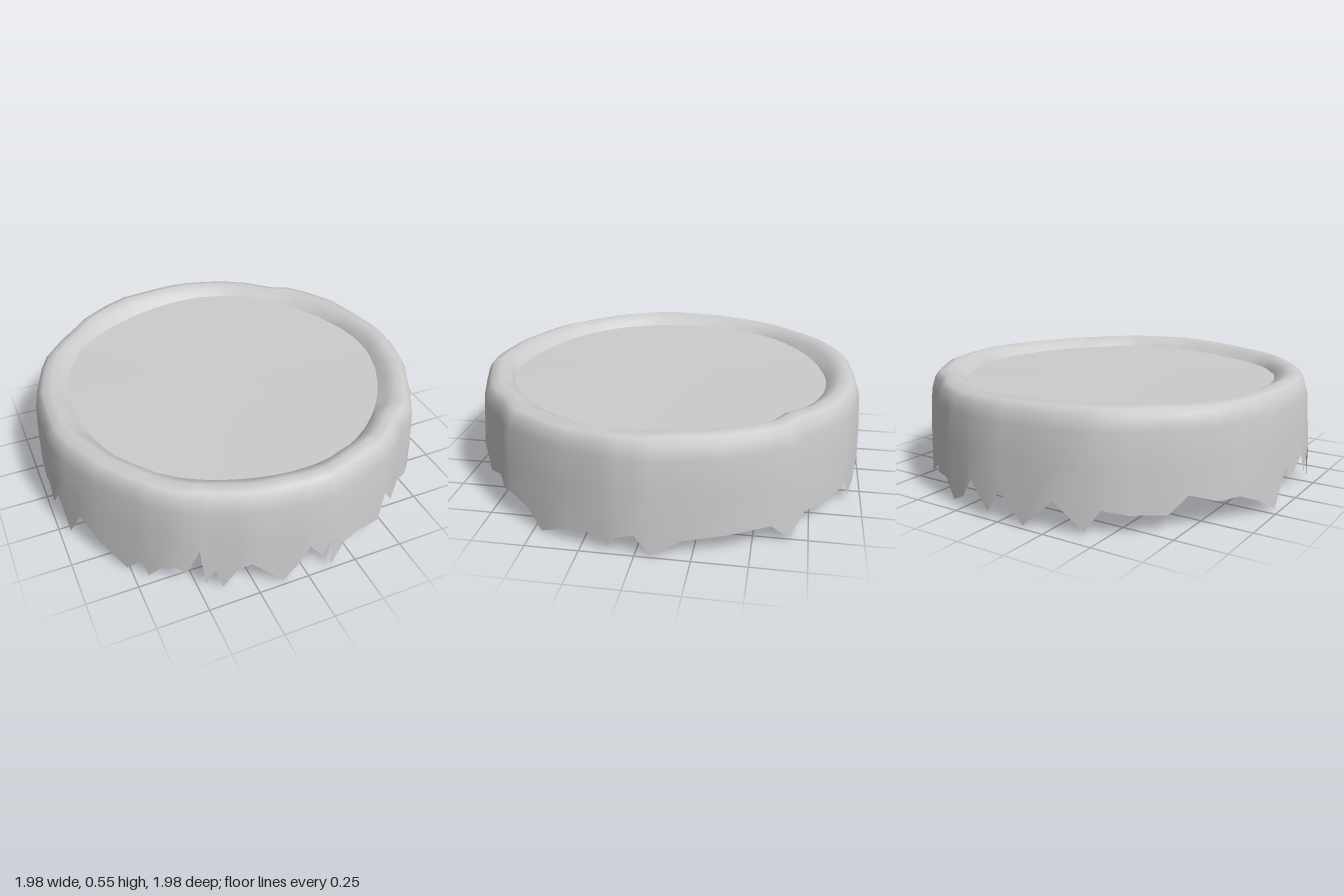
import * as THREE from 'three';

// Torn hem: angle in degrees (0 = front, 90 = +x), height of the edge there
const HEM = [
  -85, .2, -82, .1, -77, .21, -73, .02, -67, .19, -60, .11, -51, .01, -46, .1, -44, .02, -38, .14,
  -33, .1, -29.5, .25, -28, .03, -25.5, .12, -23.5, .01, -19.5, .13, -16, .16, -12, .1, -7, .01, -3, .1,
  0, .2, 4, .11, 6, .2, 7, .02, 11, .12, 16, .14, 21, .12, 26, .1, 28, .25, 34, .13,
  41, .16, 46, .13, 50, .14, 57, .1, 62, .01, 71, .08, 81, .09, 83, .04, 85, .09, 90, .11,
  94, .01, 102, .08, 114, .1, 126, .1, 132, .01, 139, .09, 148, .1, 157, .12, 161, .03, 166, .07,
  170, .17, 176, .04, 180, .15, 187, .01, 196, .15, 204, .02, 208, .12, 215, .1, 225, .09, 230, .17,
  238, .13, 245, .13, 252, .08, 259, .01, 265, .2, 269, .12,
];

// Radius and height of each ring above the hem
const RINGS = [[.98, .3], [.968, .46], [.95, .52], [.925, .55], [.88, .563], [.835, .54], [.8, .505]];

const bump = (d, at, w) => Math.exp(-(((d - at) / w) ** 2));

// Shallow folds running down the wall
function fold(d) {
  const a = THREE.MathUtils.degToRad(d);
  return .005 * Math.sin(9 * a + 1) + .004 * Math.sin(17 * a) - .022 * bump(d, 140, 4) - .02 * bump(d, 41, 5);
}

function ringPoint(d, r, y) {
  const a = THREE.MathUtils.degToRad(d);
  return [Math.sin(a) * r, y, Math.cos(a) * r];
}

function innerEdge(d) {
  const a = THREE.MathUtils.degToRad(d);
  return ringPoint(d, .8 + .01 * Math.sin(5 * a), .505 + .004 * Math.sin(3 * a));
}

function createWall(columns) {
  const pos = [], index = [];
  const n = columns.length, rows = RINGS.length + 1;
  for (const [d, hem] of columns) {
    pos.push(...ringPoint(d, .988 + fold(d), hem));
    RINGS.forEach(([r, y], k) => {
      if (k === RINGS.length - 1) return pos.push(...innerEdge(d));
      const a = THREE.MathUtils.degToRad(d);
      const lift = k > 2 ? .005 * Math.sin(4 * a + .5) - .003 : 0;
      return pos.push(...ringPoint(d, r + fold(d), y + lift));
    });
  }
  for (let i = 0; i < n; i++) {
    for (let k = 0; k < rows - 1; k++) {
      const a = i * rows + k, b = ((i + 1) % n) * rows + k;
      index.push(a, b, b + 1, a, b + 1, a + 1);
    }
  }
  return toGeometry(pos, index);
}

function createDisc(columns) {
  const pos = [0, .5, 0], index = [];
  columns.forEach(([d], i) => {
    pos.push(...innerEdge(d));
    index.push(0, i + 1, ((i + 1) % columns.length) + 1);
  });
  return toGeometry(pos, index);
}

function toGeometry(pos, index) {
  const g = new THREE.BufferGeometry();
  g.setAttribute('position', new THREE.Float32BufferAttribute(pos, 3));
  g.setIndex(index);
  g.computeVertexNormals();
  return g;
}

export function createModel() {
  const group = new THREE.Group();
  group.name = 'tornCover';
  const grey = new THREE.MeshStandardMaterial({ color: 0xcccccc, side: THREE.DoubleSide });
  grey.name = 'light grey';

  const columns = [];
  for (let i = 0; i < HEM.length; i += 2) columns.push([HEM[i], HEM[i + 1]]);

  // Thin wall rolling over a soft rim
  const wall = new THREE.Mesh(createWall(columns), grey);
  wall.name = 'raggedWallAndRim';

  // Sunken flat top
  const disc = new THREE.Mesh(createDisc(columns), grey);
  disc.name = 'sunkenTop';

  group.add(wall, disc);
  return group;
}
